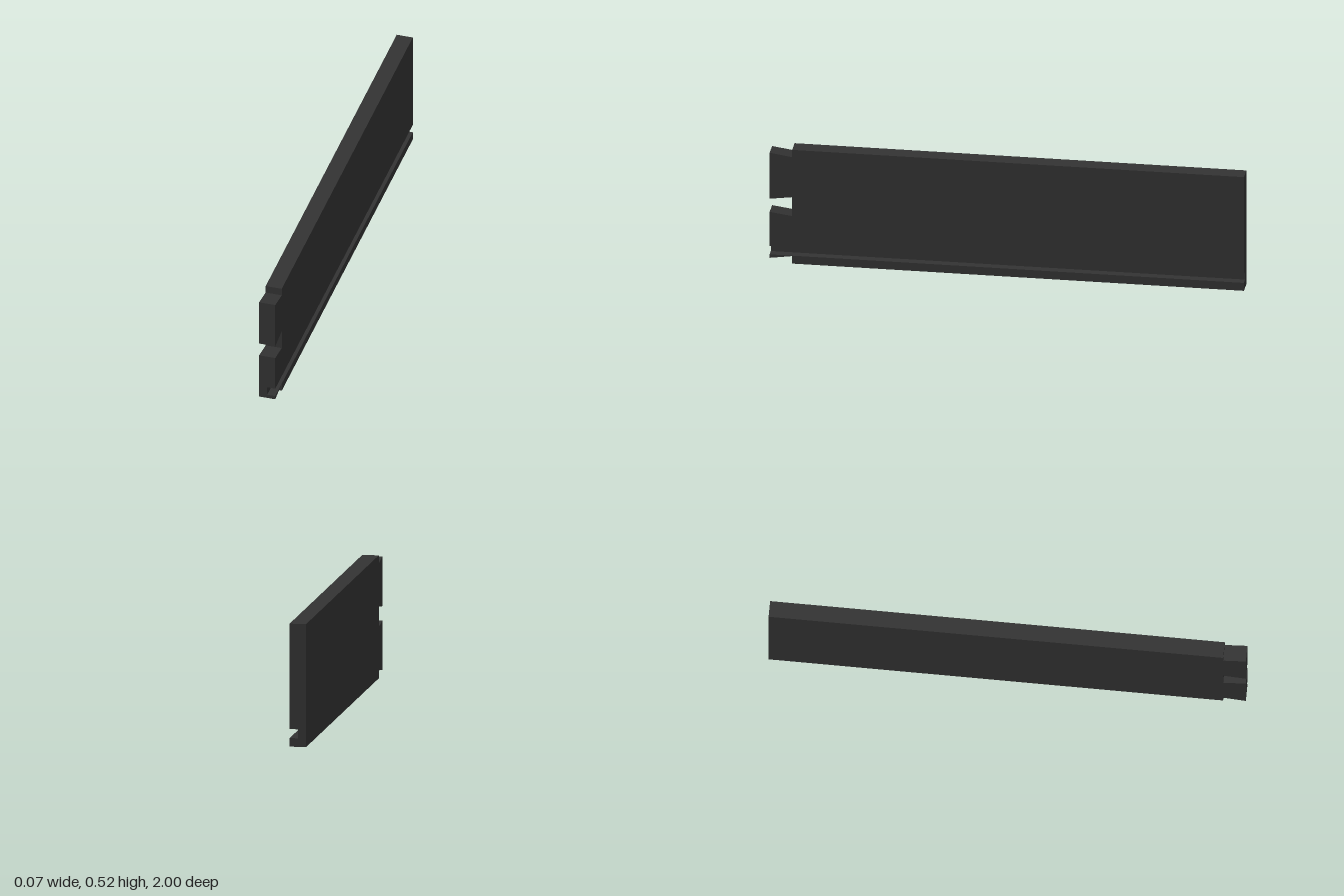
import * as THREE from 'three';

const HALF = 0.035;                      // half the board thickness
const TOP = 0.519;                       // board height
const END = 1, SHOULDER = 0.905;         // tail tips and tail roots along z
const GROOVE_LOW = 0.036, GROOVE_HIGH = 0.074;

// Dovetail edge as [z, y], climbing from the lower shoulder to the top one
const tailEdge = [
  [SHOULDER, 0.034], [END, 0.02], [END, 0.23], [SHOULDER, 0.217],
  [SHOULDER, 0.303], [END, 0.29], [END, 0.5], [SHOULDER, 0.486],
];

// Extrudes a side outline given as [z, y] across the thickness from x0 to x1
function slab(name, outline, x0, x1, material) {
  const shape = new THREE.Shape(outline.map(([z, y]) => new THREE.Vector2(-z, y)));
  const geometry = new THREE.ExtrudeGeometry(shape, { depth: x1 - x0, bevelEnabled: false });
  geometry.rotateY(Math.PI / 2);
  geometry.translate(x0, 0, 0);
  const mesh = new THREE.Mesh(geometry, material);
  mesh.name = name;
  return mesh;
}

export function createModel() {
  const group = new THREE.Group();
  group.name = 'drawerSide';
  const charcoal = new THREE.MeshStandardMaterial({ color: 0x333333 });
  charcoal.name = 'charcoal';

  // Outer half of the board, full height with both tails
  group.add(slab('outerBoard',
    [[-END, 0], [SHOULDER, 0], ...tailEdge, [SHOULDER, TOP], [-END, TOP]],
    -HALF, 0, charcoal));

  // Inner half above the groove
  group.add(slab('innerPanel',
    [[-END, GROOVE_HIGH], [END, GROOVE_HIGH], ...tailEdge.slice(2), [SHOULDER, TOP], [-END, TOP]],
    0, HALF, charcoal));

  // Inner lip below the groove
  group.add(slab('grooveLip',
    [[-END, 0], [SHOULDER, 0], ...tailEdge.slice(0, 2), [END, GROOVE_LOW], [-END, GROOVE_LOW]],
    0, HALF, charcoal));

  return group;
}
